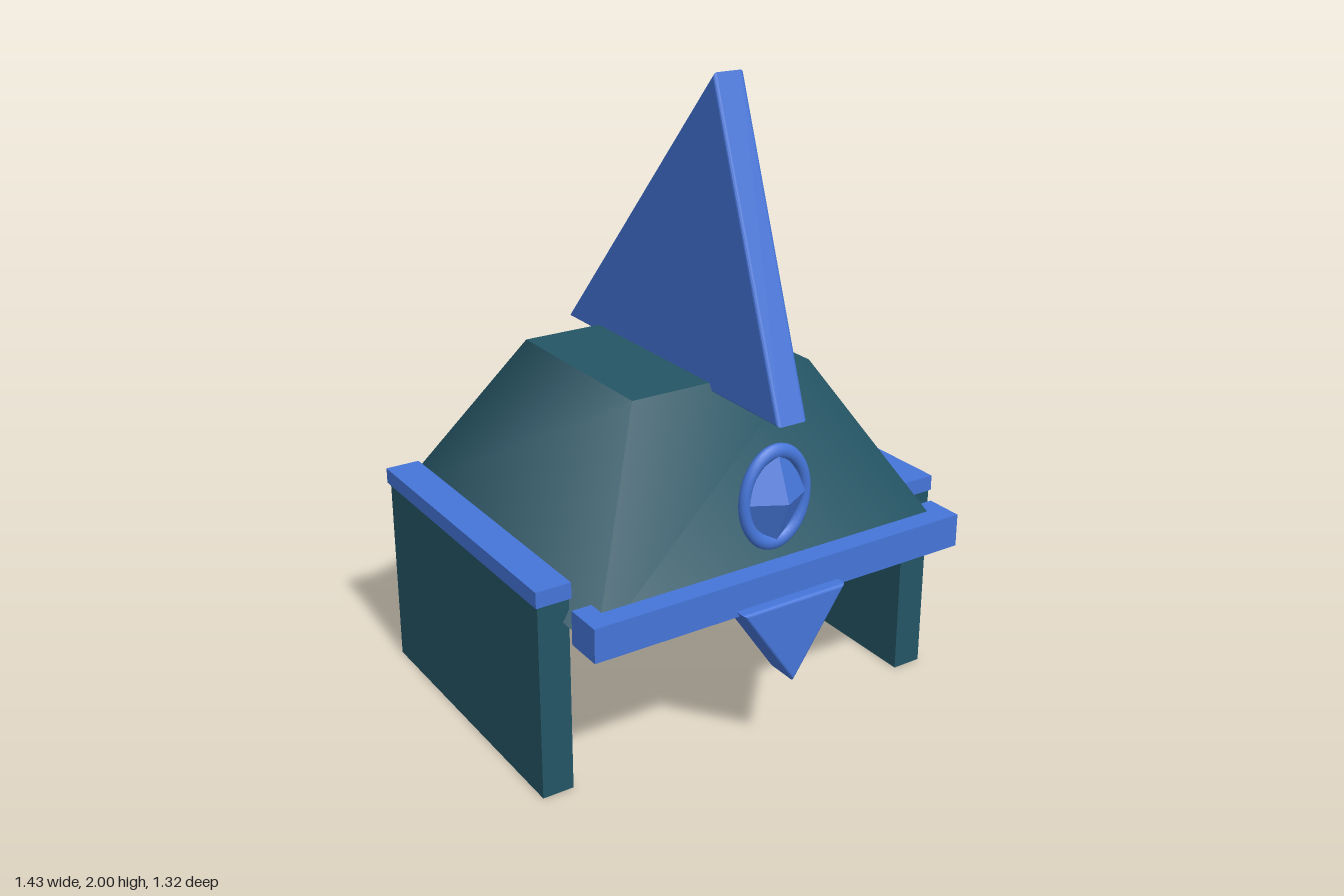
import * as THREE from 'three';

export function createModel() {
  const model = new THREE.Group();
  const teal = new THREE.MeshStandardMaterial({ color: 0x245565 });
  teal.name = 'dark teal';
  const blue = new THREE.MeshStandardMaterial({ color: 0x4575d8 });
  blue.name = 'bright blue';

  const add = (name, geometry, material, x = 0, y = 0, z = 0) => {
    const mesh = new THREE.Mesh(geometry, material);
    mesh.name = name;
    mesh.position.set(x, y, z);
    model.add(mesh);
    return mesh;
  };

  // Bevelled triangular slab, centred on its thickness; the outline is the outermost contour
  const triangle = (points, thickness, bevel) => {
    const shape = new THREE.Shape(points.map(([x, y]) => new THREE.Vector2(x, y)));
    const geometry = new THREE.ExtrudeGeometry(shape, {
      depth: thickness - 2 * bevel,
      bevelThickness: bevel,
      bevelSize: bevel,
      bevelOffset: -bevel,
      bevelSegments: 3,
    });
    return geometry.translate(0, 0, bevel - thickness / 2);
  };

  // Four-sided tapered body with softly shaded sides
  const body = new THREE.CylinderGeometry(0.315 * Math.SQRT2, 0.63 * Math.SQRT2, 0.55, 4, 1, false, Math.PI / 4);
  add('body', body, teal, 0, 0.825, -0.03);

  // Tall crest fin, its profile drawn with the front along -x, then turned to face +z
  const fin = triangle([[-0.62, 1.072], [0.54, 1.078], [-0.29, 2]], 0.1, 0.01);
  add('crestFin', fin.rotateY(Math.PI / 2), blue);

  // Side panels with caps
  for (const [side, s] of [['left', 1], ['right', -1]]) {
    add(side + 'Panel', new THREE.BoxGeometry(0.1, 0.62, 0.98), teal, s * 0.66, 0.31, -0.07);
    add(side + 'PanelCap', new THREE.BoxGeometry(0.112, 0.05, 1), blue, s * 0.66, 0.645, -0.075);
  }

  // Front bar and the pointed slab hanging beneath it
  add('frontBar', new THREE.BoxGeometry(1.295, 0.105, 0.122), blue, 0, 0.577, 0.562);
  add('chinPoint', triangle([[-0.183, 0.543], [0, 0.275], [0.183, 0.543]], 0.12, 0.012), blue, 0, 0, 0.6);

  // Oval eye: a ring around a faceted gem
  const ring = add('eyeRing', new THREE.TorusGeometry(0.1075, 0.0175, 12, 40), blue, 0, 0.825, 0.547);
  ring.scale.set(1, 1.32, 1);
  const gem = add('eyeGem', new THREE.OctahedronGeometry(1), blue, 0, 0.825, 0.547);
  gem.scale.set(0.125, 0.165, 0.068);

  return model;
}
